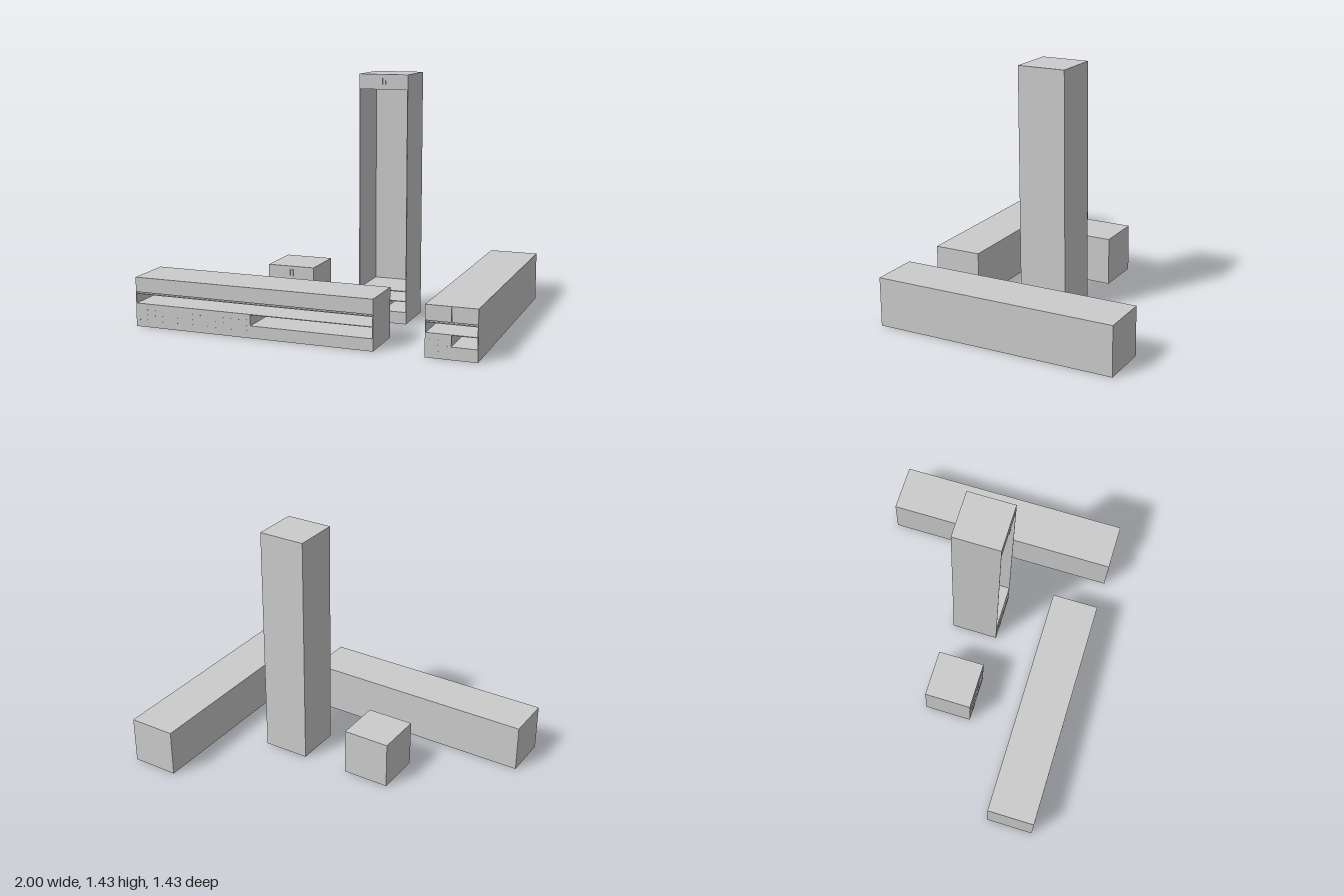
import * as THREE from 'three';

const material = new THREE.MeshStandardMaterial({ color: 0xcccccc, flatShading: true });
const U = 0.2857; // width of one cabinet unit
const T = 0.004; // board thickness

// Box given by its lower and upper limits on each axis
function box(parent, name, x0, x1, y0, y1, z0, z1) {
  const mesh = new THREE.Mesh(new THREE.BoxGeometry(x1 - x0, y1 - y0, z1 - z0), material);
  mesh.position.set((x0 + x1) / 2, (y0 + y1) / 2, (z0 + z1) / 2);
  mesh.name = name;
  parent.add(mesh);
  return mesh;
}

// Pair of small upright grips, centred on (x, y)
function grip(parent, name, x, y, front) {
  for (const s of [-1, 1]) {
    box(parent, name, x + s * 0.009 - 0.006, x + s * 0.009 + 0.006, y - 0.018, y + 0.018, front - 0.001, front + 0.006);
  }
}

// Flush studs on the lower left front
function studs(parent, w, front, columns) {
  const geometry = new THREE.CylinderGeometry(0.003, 0.003, 0.003, 8).rotateX(Math.PI / 2);
  for (let i = 0; i < columns; i++) {
    for (const y of [0.04, 0.07, 0.1]) {
      const stud = new THREE.Mesh(geometry, material);
      stud.name = 'stud';
      stud.position.set(-w / 2 + (i + 0.5) * (w / 2) / columns, y, front);
      parent.add(stud);
    }
  }
}

// Open-fronted cabinet: shell, top drawer, shelves, lower left box and right niche
function cabinet(name, w, h, d, x, z, options) {
  const g = new THREE.Group();
  g.name = name;
  g.position.set(x, 0, z);
  const a = w / 2, f = d / 2, inner = a - T;
  const drawerY = h - 0.085;

  // Shell
  box(g, 'leftWall', inner, a, 0, h, -f, f);
  box(g, 'rightWall', -a, -inner, 0, h, -f, f);
  box(g, 'backPanel', -inner, inner, 0, h, -f, -f + T);

  // Top drawer, in two halves where a seam shows
  if (options.seam) {
    box(g, 'drawer', -inner, -0.0015, drawerY, h, -f + T, f);
    box(g, 'drawer', 0.0015, inner, drawerY, h, -f + T, f);
    box(g, 'topBoard', -inner, inner, h - T, h, -f + T, f);
  } else {
    box(g, 'drawer', -inner, inner, drawerY, h, -f + T, f);
  }

  // Shelves and lower compartments
  box(g, 'thinShelf', -inner, inner, 0.189, 0.194, -f + T, f);
  box(g, 'shelf', -inner, inner, 0.131, 0.135, -f + T, f);
  box(g, 'lowerBox', -inner, 0, 0, 0.131, -f + T, f);
  box(g, 'nicheBase', 0, inner, 0, 0.07, -f + T, f);

  if (options.grips) {
    grip(g, 'drawerGrip', 0, h - 0.039, f);
    grip(g, 'lowerGrip', -a / 2, 0.07, f);
  }
  if (options.studs) studs(g, w, f, options.studs);
  return g;
}

export function createModel() {
  const model = new THREE.Group();
  model.name = 'cabinetSet';
  const L = U * 5;
  model.add(
    cabinet('smallCabinet', U, U, U, -U, 0, { grips: true }),
    cabinet('tallCabinet', U, L, U, U, 0, { grips: true }),
    cabinet('wideCabinet', L, U, U, -U, 2 * U, { studs: 15 }),
    cabinet('deepCabinet', U, U, L, 3 * U, 0, { seam: true, studs: 3 })
  );
  return model;
}
